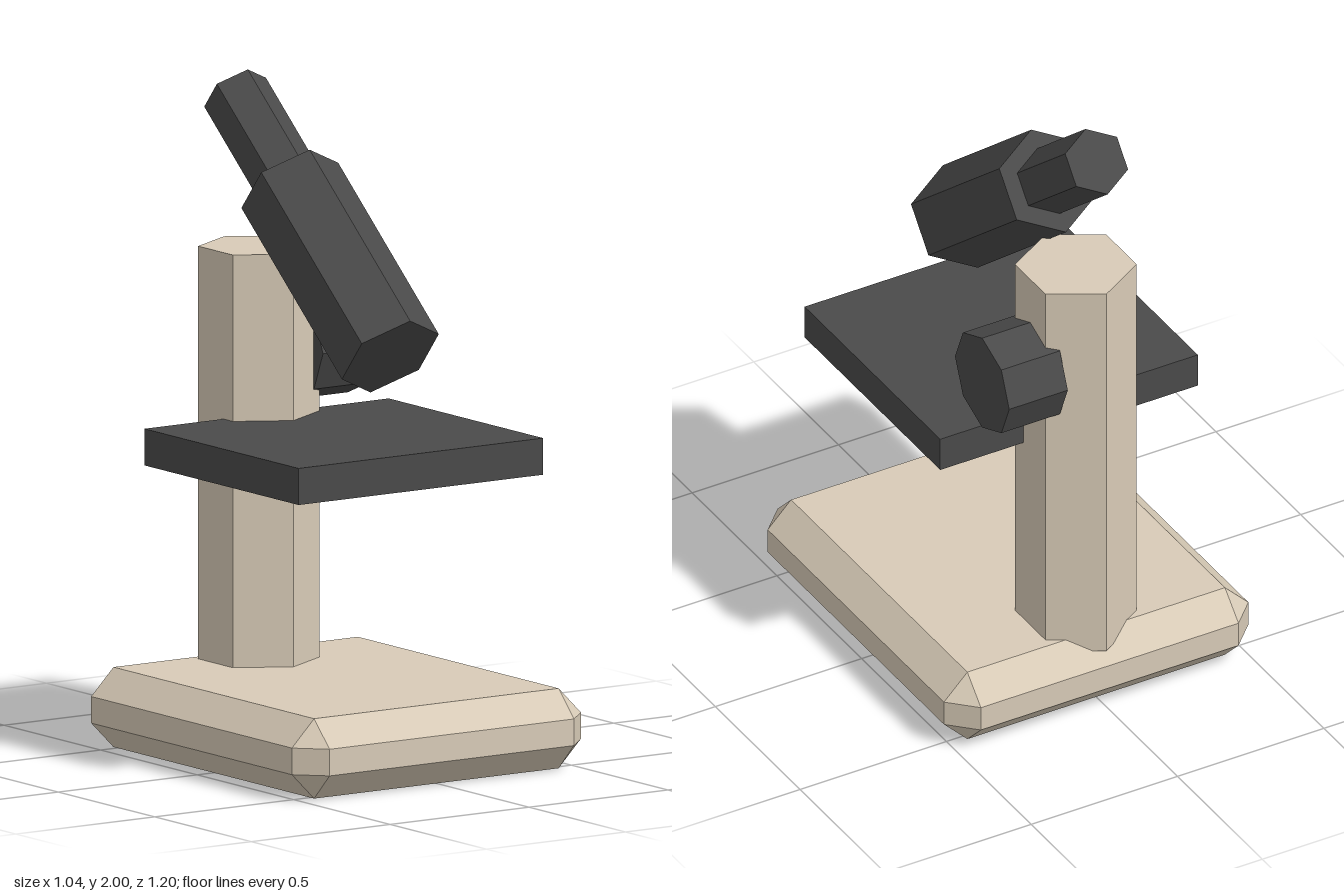
import * as THREE from 'three';
import { ConvexGeometry } from 'three/addons/geometries/ConvexGeometry.js';

const flat = (name, color) => {
  const m = new THREE.MeshStandardMaterial({ color, flatShading: true });
  m.name = name;
  return m;
};

// Box with every edge cut at 45 degrees
function chamferedBox(w, h, d, c) {
  const points = [];
  for (const x of [-w / 2, w / 2]) for (const y of [-h / 2, h / 2]) for (const z of [-d / 2, d / 2]) {
    const ix = x - Math.sign(x) * c, iy = y - Math.sign(y) * c, iz = z - Math.sign(z) * c;
    points.push(
      new THREE.Vector3(x, iy, iz),
      new THREE.Vector3(ix, y, iz),
      new THREE.Vector3(ix, iy, z)
    );
  }
  return new ConvexGeometry(points);
}

const prism = (radius, length, sides) => new THREE.CylinderGeometry(radius, radius, length, sides);

export function createModel() {
  const model = new THREE.Group();
  model.name = 'microscope';
  const cream = flat('cream', 0xd8cbb7);
  const charcoal = flat('charcoal', 0x4a4a4a);

  const add = (parent, name, geometry, material, x, y, z) => {
    const mesh = new THREE.Mesh(geometry, material);
    mesh.name = name;
    mesh.position.set(x, y, z);
    parent.add(mesh);
    return mesh;
  };

  // Stand: base, hexagonal column and stage
  add(model, 'base', chamferedBox(1.04, 0.24, 1.2, 0.08), cream, 0, 0.12, 0);
  add(model, 'column', prism(0.18, 1.28, 6), cream, 0, 0.84, -0.4);
  add(model, 'stage', new THREE.BoxGeometry(0.88, 0.11, 0.8), charcoal, 0, 0.925, 0.04);

  // Focus knob on the left side of the column
  const knob = add(model, 'focusKnob', prism(0.16, 0.2, 8), charcoal, 0.22, 1.165, -0.4);
  knob.rotation.z = Math.PI / 2;

  // Tilted optics: wide tube with a narrow eyepiece on the same axis
  const optics = new THREE.Group();
  optics.name = 'optics';
  optics.position.set(0, 1.465, 0.021);
  optics.rotation.x = THREE.MathUtils.degToRad(-50);
  add(optics, 'tube', prism(0.16, 0.68, 6), charcoal, 0, 0, 0);
  add(optics, 'eyepiece', prism(0.102, 0.41, 6), charcoal, 0, 0.505, 0);
  model.add(optics);

  return model;
}
